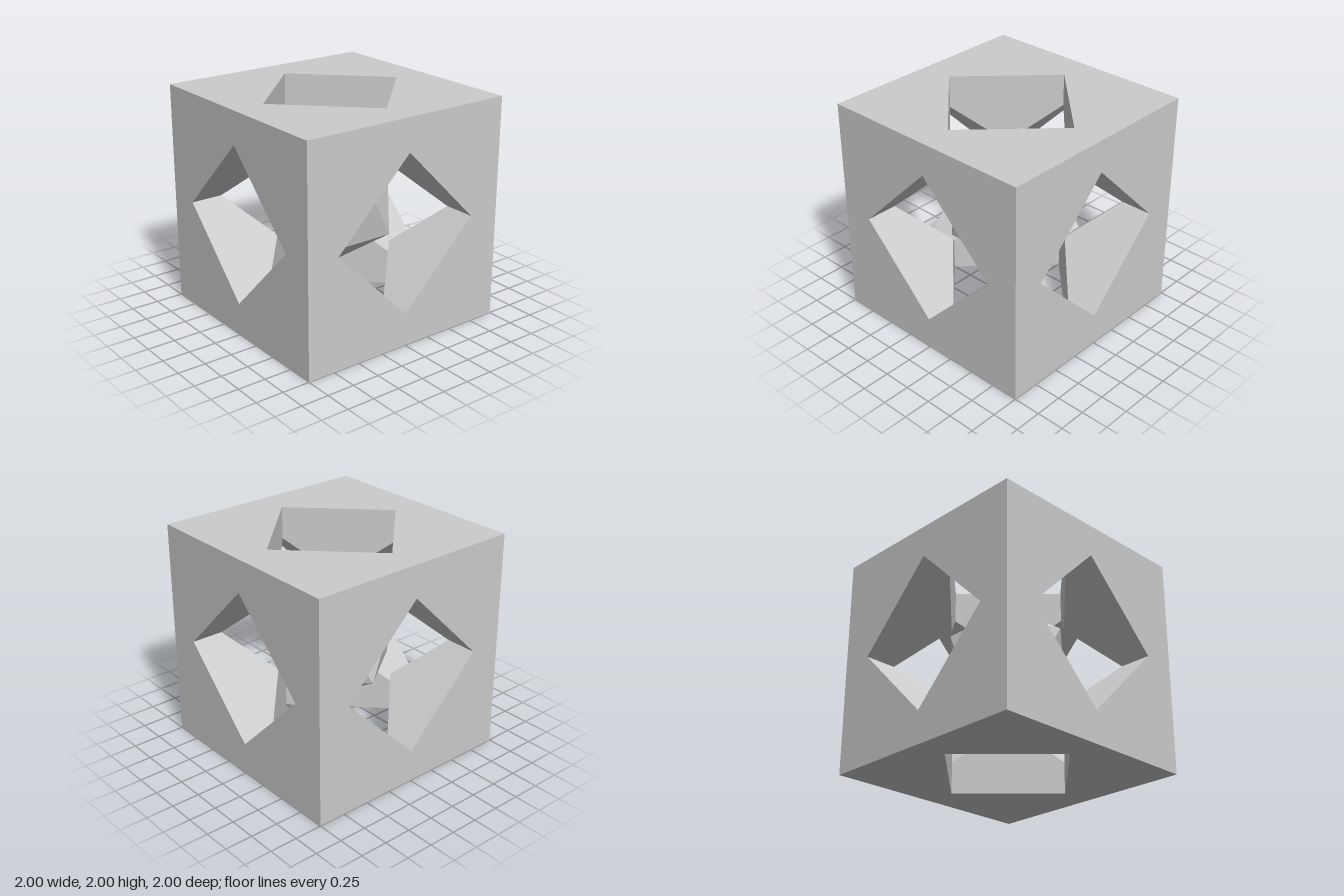
import * as THREE from 'three';
import { mergeGeometries } from 'three/addons/utils/BufferGeometryUtils.js';

const HALF = 1;              // half the cube's edge
const A = Math.SQRT1_2;      // half the diagonal of each square tunnel
const CORE_RADIUS = 0.573;

// One outer face, looking along +z, with its diamond opening
function facePlate() {
  const shape = new THREE.Shape();
  shape.moveTo(-HALF, -HALF).lineTo(HALF, -HALF).lineTo(HALF, HALF).lineTo(-HALF, HALF).closePath();
  const hole = new THREE.Path();
  hole.moveTo(A, 0).lineTo(0, -A).lineTo(-A, 0).lineTo(0, A).closePath();
  shape.holes.push(hole);
  const geometry = new THREE.ShapeGeometry(shape).toNonIndexed();
  geometry.deleteAttribute('uv');
  return geometry.translate(0, 0, HALF);
}

// One tunnel wall: a pentagon whose point reaches in where the three tunnels cross
function tunnelWall() {
  const p = [[0, A, A], [A / 2, A / 2, A / 2], [A, 0, A], [A, 0, HALF], [0, A, HALF]];
  const positions = [];
  for (let i = 1; i < p.length - 1; i++) positions.push(...p[0], ...p[i], ...p[i + 1]);
  const geometry = new THREE.BufferGeometry();
  geometry.setAttribute('position', new THREE.Float32BufferAttribute(positions, 3));
  geometry.computeVertexNormals();
  return geometry;
}

export function createModel() {
  const model = new THREE.Group();
  const material = new THREE.MeshStandardMaterial({ color: 0xcccccc, flatShading: true });

  // Face plate and its four tunnel walls, repeated on all six sides
  const parts = [facePlate()];
  for (let i = 0; i < 4; i++) parts.push(tunnelWall().rotateZ(i * Math.PI / 2));
  const side = mergeGeometries(parts);

  const sides = [];
  for (let i = 0; i < 4; i++) sides.push(side.clone().rotateY(i * Math.PI / 2));
  for (const s of [-1, 1]) sides.push(side.clone().rotateX(s * Math.PI / 2));

  const cube = new THREE.Mesh(mergeGeometries(sides), material);
  cube.name = 'piercedCube';
  cube.position.y = HALF;
  model.add(cube);

  // Icosahedron standing on one vertex at the centre
  const golden = (1 + Math.sqrt(5)) / 2;
  const core = new THREE.Mesh(
    new THREE.IcosahedronGeometry(CORE_RADIUS).rotateZ(-Math.atan(1 / golden)),
    material
  );
  core.name = 'icosahedronCore';
  core.position.y = HALF;
  model.add(core);

  return model;
}
